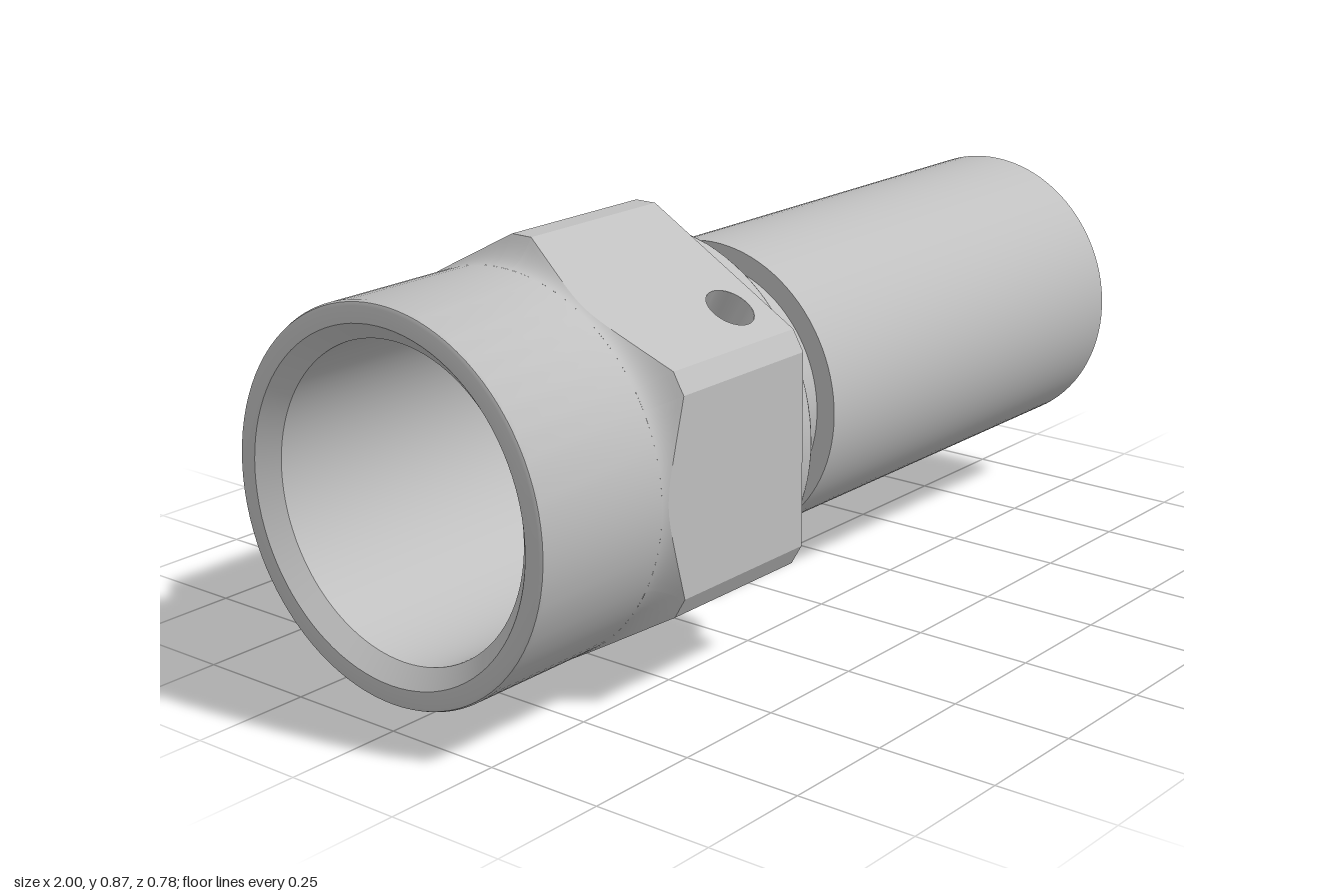
import * as THREE from 'three';
import { toCreasedNormals } from 'three/addons/utils/BufferGeometryUtils.js';

const AXIS_Y = 0.4365;
const SLEEVE_R = 0.387, FLAT_R = 0.39, CORNER_R = 0.4365;
const FLARE_X = -0.68, HEX_END = -0.26;
const C = Math.cos(Math.PI / 6), S = 0.5;
const FLAT_W = (CORNER_R - FLAT_R * C) / S;    // half width of a hex flat
const CORNER_W = (FLAT_R - CORNER_R * C) / S;  // half width of a trimmed corner

const steel = new THREE.MeshStandardMaterial({ color: 0xc0c0c0 });
steel.name = 'steel';

function add(parent, name, geometry) {
  const mesh = new THREE.Mesh(geometry, steel);
  mesh.name = name;
  parent.add(mesh);
  return mesh;
}

// Revolve [radius, x] pairs about the x axis
function turned(profile) {
  const g = new THREE.LatheGeometry(profile.map(([r, x]) => new THREE.Vector2(r, x)), 96);
  return toCreasedNormals(g.rotateZ(-Math.PI / 2), 0.5);
}

// How far the concave flare runs before it reaches radius r
const flareLength = (r) => 0.06 * Math.sqrt((r - SLEEVE_R) / 0.05);

// One long face of the hexagon, with a curved edge where it meets the flare
function sidePlate(d, w, hole) {
  const shape = new THREE.Shape();
  shape.moveTo(HEX_END, -w);
  shape.lineTo(HEX_END, w);
  for (let i = 0; i <= 20; i++) {
    const t = w * (1 - i / 10);
    shape.lineTo(FLARE_X + flareLength(Math.hypot(d, t)), t);
  }
  if (hole) {
    const path = new THREE.Path();
    path.absarc(hole.x, hole.t, hole.r, 0, Math.PI * 2, true);
    shape.holes.push(path);
  }
  return new THREE.ShapeGeometry(shape, 32).translate(0, 0, d);
}

// Turned flare behind one face, ending on that face
function flarePatch(d, w) {
  const g = new THREE.PlaneGeometry(1, 1, 8, 20);
  const p = g.attributes.position;
  for (let i = 0; i < p.count; i++) {
    const u = p.getX(i) + 0.5, t = 2 * w * p.getY(i);
    const end = Math.hypot(d, t);
    const r = SLEEVE_R + (end - SLEEVE_R) * u * u;
    p.setXYZ(i, FLARE_X + flareLength(end) * u, r * t / end, r * d / end);
  }
  g.computeVertexNormals();
  return g;
}

function makeNut() {
  const nut = new THREE.Group();
  nut.name = 'nut';

  // Open sleeve with chamfered bore
  add(nut, 'sleeve', turned([
    [0.28, -0.33], [0.31, -0.36], [0.31, -0.965], [0.345, -1], [0.377, -1],
    [0.384, -0.997], [SLEEVE_R, -0.99], [SLEEVE_R, FLARE_X],
  ]));

  // Rounded collar
  const collar = [[SLEEVE_R, -0.27]];
  for (let i = 0; i <= 10; i++) {
    const a = (i / 10) * Math.PI / 2;
    collar.push([0.332 + 0.055 * Math.cos(a), -0.245 + 0.055 * Math.sin(a)]);
  }
  collar.push([0.28, -0.19]);
  add(nut, 'collar', turned(collar));

  // Six flats alternating with six trimmed corners
  const hole = { x: -0.35, t: -0.102, r: 0.05 };
  const outline = [];
  for (let k = 0; k < 12; k++) {
    const a = k * Math.PI / 6;
    const flat = k % 2 === 0;
    const d = flat ? FLAT_R : CORNER_R, w = flat ? FLAT_W : CORNER_W;
    const drilled = k === 2;
    const side = new THREE.Group();
    side.name = flat ? 'hexFlat' : 'hexCorner';
    side.rotation.x = -a;
    add(side, 'face', sidePlate(d, w, drilled ? hole : null));
    add(side, 'flare', flarePatch(d, w));
    if (drilled) {
      // Blind drilled hole: inward-facing wall and floor
      const depth = 0.07;
      const wall = new THREE.LatheGeometry(
        [new THREE.Vector2(hole.r, 0), new THREE.Vector2(hole.r, -depth), new THREE.Vector2(0, -depth)], 32);
      add(side, 'drilledHole', toCreasedNormals(wall.rotateX(Math.PI / 2), 0.5))
        .position.set(hole.x, hole.t, d);
    }
    nut.add(side);
    if (flat) {
      for (const t of [-w, w]) {
        outline.push(new THREE.Vector2(
          d * Math.cos(a) - t * Math.sin(a), d * Math.sin(a) + t * Math.cos(a)));
      }
    }
  }

  // End face around the collar
  const end = new THREE.Shape(outline);
  const ring = new THREE.Path();
  ring.absarc(0, 0, 0.37, 0, Math.PI * 2, true);
  end.holes.push(ring);
  add(nut, 'hexEnd', new THREE.ShapeGeometry(end, 48).rotateY(Math.PI / 2).translate(HEX_END, 0, 0));
  return nut;
}

export function createModel() {
  const model = new THREE.Group();
  model.name = 'hoseFitting';
  const fitting = new THREE.Group();
  fitting.name = 'fitting';
  fitting.position.y = AXIS_Y;
  model.add(fitting);

  fitting.add(makeNut());

  // Stepped neck leading out of the nut
  add(fitting, 'neck', turned([
    [0.157, -0.42], [0.22, -0.42], [0.287, -0.3], [0.287, -0.12], [0.27, -0.12], [0.27, -0.05],
  ]));

  // Outer ferrule with tapered inside and closed floor
  add(fitting, 'ferrule', turned([
    [0.27, -0.05], [0.313, -0.05], [0.313, 1], [0.287, 1], [0.26, 0.15], [0.2, 0.15],
  ]));

  // Inner hose tail with through bore
  add(fitting, 'hoseTail', turned([
    [0.205, 0.15], [0.19, 1], [0.157, 1], [0.157, -0.42],
  ]));

  return model;
}
